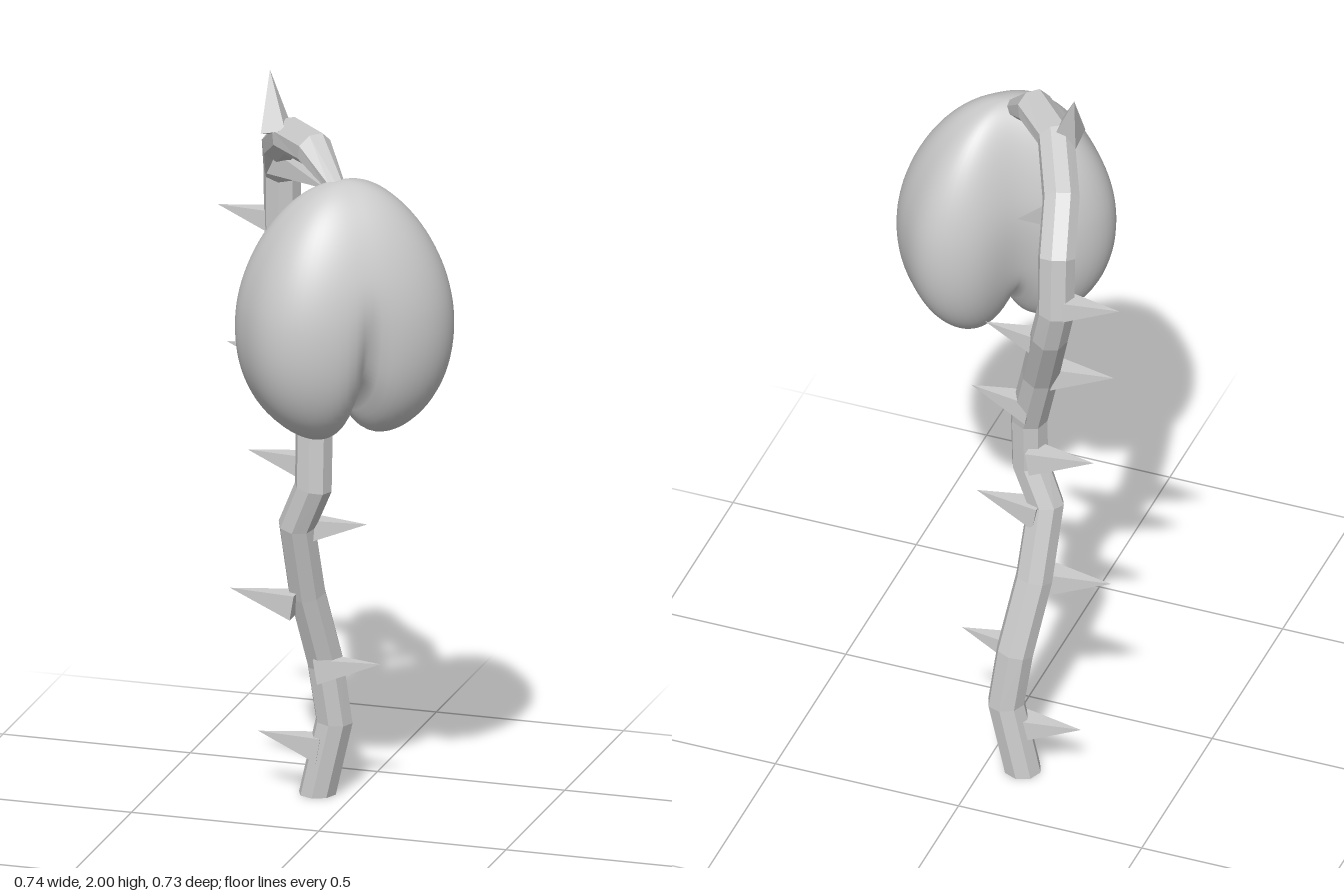
import * as THREE from 'three';

const V = (x, y, z) => new THREE.Vector3(x, y, z);
const flat = new THREE.MeshStandardMaterial({ color: 0xcccccc, flatShading: true });
const smooth = new THREE.MeshStandardMaterial({ color: 0xcccccc });

// Centreline of the stem, from the ground to the bulb
const stemPoints = [
  [-0.095, 0, -0.292], [-0.05, 0.2, -0.292], [-0.07, 0.36, -0.28], [-0.1, 0.56, -0.222],
  [-0.11, 0.76, -0.167], [-0.062, 0.87, -0.152], [-0.062, 1.02, -0.16], [-0.11, 1.2, -0.205],
  [-0.17, 1.4, -0.295], [-0.195, 1.5, -0.315], [-0.193, 1.66, -0.305], [-0.165, 1.765, -0.2],
  [-0.095, 1.842, -0.055], [0.0, 1.845, 0.04], [0.08, 1.775, 0.108],
].map(p => V(...p));

// Angular path: one ring per point, mitred at each bend
class Polyline extends THREE.Curve {
  index(t) { return Math.round(t * (stemPoints.length - 1)); }
  getPoint(t) { return stemPoints[this.index(t)].clone(); }
  getPointAt(t) { return this.getPoint(t); }
  getTangentAt(t) {
    const i = this.index(t), n = stemPoints.length - 1;
    if (i === 0) return V(0, 1, 0);
    return stemPoints[Math.min(i + 1, n)].clone().sub(stemPoints[i - 1]).normalize();
  }
}

function makeStem() {
  const group = new THREE.Group();
  group.name = 'stem';
  const n = stemPoints.length - 1, sides = 8, radius = 0.049;
  const geo = new THREE.TubeGeometry(new Polyline(), n, radius, sides, false);
  // Narrow the last ring where it meets the bulb
  const pos = geo.attributes.position, p = V(0, 0, 0);
  for (let i = n * (sides + 1); i < pos.count; i++) {
    p.fromBufferAttribute(pos, i).sub(stemPoints[n]).multiplyScalar(0.5).add(stemPoints[n]);
    pos.setXYZ(i, p.x, p.y, p.z);
  }
  const tube = new THREE.Mesh(geo, flat);
  tube.name = 'stemTube';
  const cap = new THREE.Mesh(new THREE.CircleGeometry(radius, sides), flat);
  cap.name = 'stemBase';
  cap.rotation.x = Math.PI / 2;
  cap.position.copy(stemPoints[0]);
  group.add(tube, cap);
  return group;
}

// Square-based thorn running from its root to its tip
function makeThorn(root, tip) {
  const axis = tip.clone().sub(root);
  const geo = new THREE.ConeGeometry(0.047, axis.length(), 4);
  geo.rotateY(Math.PI / 4);
  const thorn = new THREE.Mesh(geo, flat);
  thorn.name = 'thorn';
  thorn.position.copy(root).addScaledVector(axis, 0.5);
  thorn.quaternion.setFromUnitVectors(V(0, 1, 0), axis.normalize());
  return thorn;
}

// Two-lobed bulb: an egg with a bean-shaped section, creased in front and notched below
function makeBulb() {
  const geo = new THREE.SphereGeometry(1, 72, 48);
  const pos = geo.attributes.position;
  for (let i = 0; i < pos.count; i++) {
    const c = pos.getY(i);
    const a = Math.atan2(pos.getZ(i), pos.getX(i));
    const ca = Math.cos(a), sa = Math.sin(a);
    const front = sa > 0;
    const ring = Math.sqrt(Math.max(0, 1 - c * c)) * (1 - 0.15 * c);
    const e = front ? 2.6 : 3.2;
    const k = ring * Math.pow(Math.abs(ca) ** e + Math.abs(sa) ** e, -1 / e);
    const u = 0.274 * k * ca;
    const low = THREE.MathUtils.smoothstep(-c, -0.35, 0.9);
    const groove = front ? 0.5 * low * Math.exp(-Math.abs(u) / 0.03)
      : (0.16 + 0.2 * low) * Math.exp(-((u / 0.1) ** 2));
    const w = (front ? 0.204 : 0.172) * k * sa * (1 - groove);
    let y = 1.46 + (c > 0 ? 0.335 : 0.368) * c;
    y += 0.1 * THREE.MathUtils.smoothstep(-c, 0.3, 1) * Math.exp(-Math.abs(u) / 0.04);
    pos.setXYZ(i, u, y, w);
  }
  geo.computeVertexNormals();
  // Give both sides of the seam, and the poles, matching normals
  const nor = geo.attributes.normal, sums = new Map();
  const key = i => [pos.getX(i), pos.getY(i), pos.getZ(i)].map(v => Math.round(v * 1e5)).join();
  for (let i = 0; i < pos.count; i++) {
    const s = sums.get(key(i)) || V(0, 0, 0);
    sums.set(key(i), s.add(V(nor.getX(i), nor.getY(i), nor.getZ(i))));
  }
  for (let i = 0; i < pos.count; i++) {
    const s = sums.get(key(i)).clone().normalize();
    nor.setXYZ(i, s.x, s.y, s.z);
  }
  const bulb = new THREE.Mesh(geo, smooth);
  bulb.name = 'bulb';
  bulb.rotation.y = 0.69;
  bulb.position.set(0.104, 0, 0.108);
  return bulb;
}

export function createModel() {
  const model = new THREE.Group();
  model.name = 'thornyPlant';
  model.add(makeStem(), makeBulb());

  const thorns = new THREE.Group();
  thorns.name = 'thorns';
  // Side thorns: tip x, tip y, z, root x
  [
    [-0.25, 0.155, -0.28, -0.08], [0.085, 0.375, -0.255, -0.08],
    [-0.295, 0.565, -0.185, -0.12], [0.07, 0.77, -0.19, -0.1],
    [-0.25, 0.94, -0.19, -0.08], [0.085, 1.1, -0.19, -0.08],
    [-0.305, 1.225, -0.19, -0.135], [0.015, 1.375, -0.27, -0.155],
    [-0.37, 1.545, -0.32, -0.2],
  ].forEach(([x, y, z, rootX]) => thorns.add(makeThorn(V(rootX, y - 0.028, z), V(x, y, z))));
  // Thorns on the arch
  thorns.add(makeThorn(V(-0.175, 1.725, -0.2), V(-0.04, 1.66, -0.19)));
  thorns.add(makeThorn(V(-0.125, 1.85, -0.045), V(-0.16, 2.0, -0.095)));
  model.add(thorns);
  return model;
}
